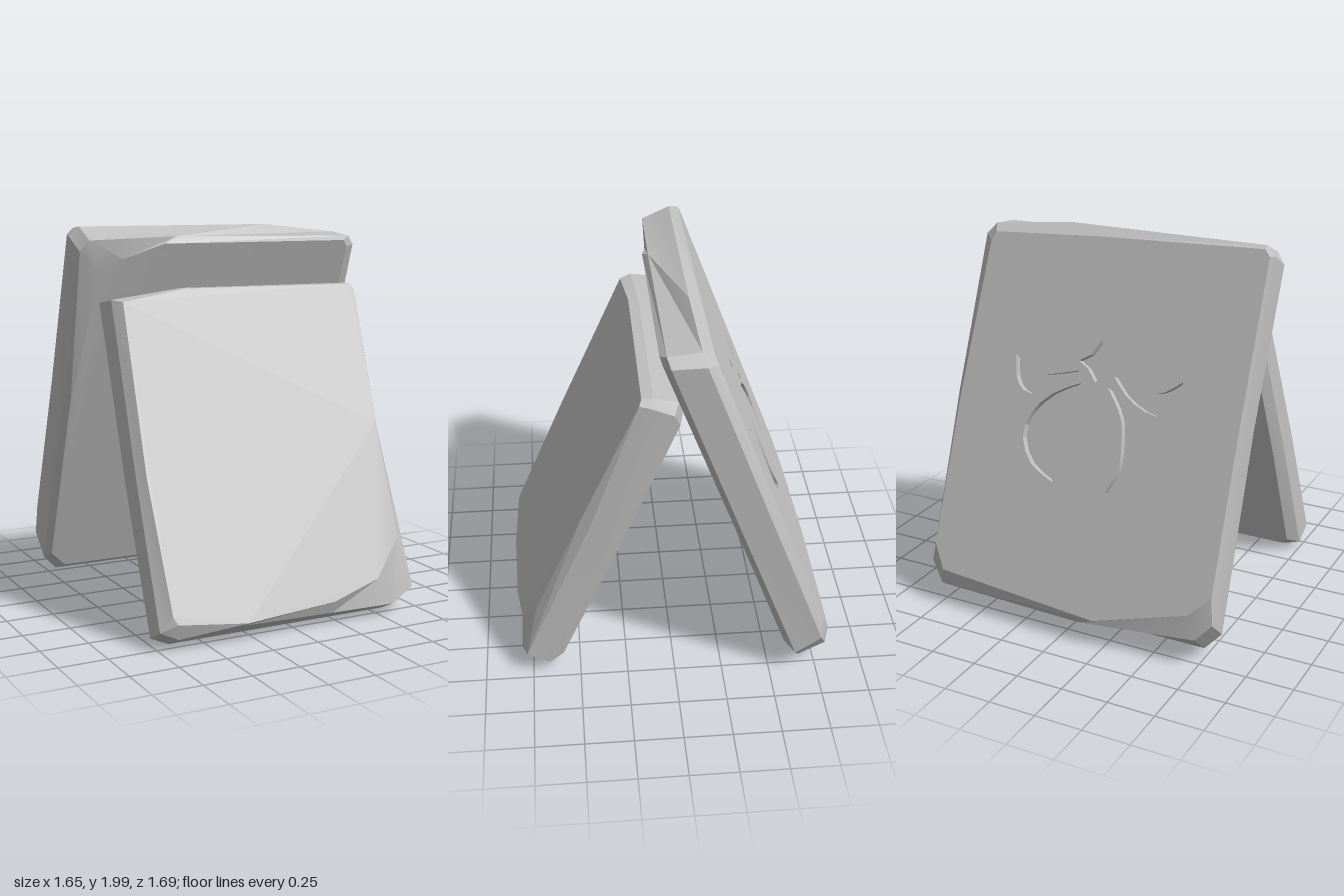
import * as THREE from 'three';
import { mergeGeometries, toCreasedNormals } from 'three/addons/utils/BufferGeometryUtils.js';

const stone = new THREE.MeshStandardMaterial({ color: 0xbfbfbf });
stone.name = 'grey stone';

const V = (x, y) => new THREE.Vector2(x, y);
const toPoints = (ring) => ring.map(([x, y]) => V(x, y));

// Walls between consecutive outlines, listed from front to back
function loft(rings, depths) {
  const pos = [];
  for (let k = 0; k + 1 < rings.length; k++) {
    const n = rings[k].length;
    for (let i = 0; i < n; i++) {
      const j = (i + 1) % n;
      const at = (ring, p) => [rings[ring][p].x, rings[ring][p].y, depths[ring]];
      const a = at(k, i), b = at(k, j), c = at(k + 1, i), d = at(k + 1, j);
      pos.push(...a, ...c, ...b, ...b, ...c, ...d);
    }
  }
  const g = new THREE.BufferGeometry();
  g.setAttribute('position', new THREE.Float32BufferAttribute(pos, 3));
  return g;
}

// Flat face at depth z, facing front or back, with optional holes
function cap(points, z, facesBack, holes = []) {
  const shape = new THREE.Shape(points);
  shape.holes = holes.map((h) => new THREE.Path(h));
  const g = new THREE.ShapeGeometry(shape);
  if (facesBack) g.setIndex(Array.from(g.index.array).reverse());
  g.translate(0, 0, z);
  const out = g.toNonIndexed();
  out.deleteAttribute('uv');
  out.deleteAttribute('normal');
  return out;
}

// Rough slab with chamfered edges and carvings sunk into its back
function slab(name, outlines, depths, carvings = []) {
  const rings = outlines.map(toPoints);
  const last = rings.length - 1;
  const back = depths[last];
  const floor = back + 0.04;
  const parts = [
    loft(rings, depths),
    cap(rings[0], depths[0], false),
    cap(rings[last], back, true, carvings),
  ];
  for (const c of carvings) {
    parts.push(loft([c, c], [back, floor]), cap(c, floor, true));
  }
  const mesh = new THREE.Mesh(toCreasedNormals(mergeGeometries(parts), 0.3), stone);
  mesh.name = name;
  return mesh;
}

// Closed leaf: two smooth edges that meet at the tips
function leaf(edgeA, edgeB, side) {
  const smooth = (pts) =>
    new THREE.SplineCurve(pts.map(([x, y]) => V(x * side, y))).getPoints(10).slice(0, -1);
  const pts = [...smooth(edgeA), ...smooth(edgeB)];
  return THREE.ShapeUtils.isClockWise(pts) ? pts.reverse() : pts;
}

// Flower: a small diamond and two mirrored pairs of leaves
function flowerCarving() {
  const list = [toPoints([
    [0, 0.213], [0.05, 0.275], [0.11, 0.31], [0.045, 0.35],
    [0, 0.43], [-0.045, 0.35], [-0.11, 0.31], [-0.05, 0.275],
  ])];
  for (const side of [-1, 1]) {
    list.push(leaf(
      [[0.1, 0.26], [0.21, 0.155], [0.36, 0.1], [0.45, 0.155], [0.48, 0.29]],
      [[0.48, 0.29], [0.38, 0.22], [0.27, 0.215], [0.1, 0.26]], side));
    list.push(leaf(
      [[0.075, 0.2], [0.23, 0.12], [0.34, 0], [0.365, -0.13], [0.29, -0.26], [0.15, -0.33]],
      [[0.15, -0.33], [0.205, -0.2], [0.2, -0.06], [0.17, 0.07], [0.075, 0.2]], side));
  }
  return list;
}

export function createModel() {
  const group = new THREE.Group();
  group.name = 'leaning slabs';

  // Taller carved slab at the back
  const backSlab = slab('carvedBackSlab', [
    [[-0.79, -0.88], [-0.7, -0.97], [0, -0.97], [0.68, -0.96], [0.76, -0.86], [0.72, 0],
      [0.73, 0.95], [0.7, 0.99], [-0.38, 0.99], [-0.6, 0.91], [-0.72, 0.82], [-0.79, 0.1]],
    [[-0.82, -0.92], [-0.74, -1.01], [0, -1.01], [0.74, -1.01], [0.82, -0.92], [0.81, 0],
      [0.79, 0.95], [0.75, 1], [-0.3, 1.015], [-0.78, 1], [-0.825, 0.94], [-0.81, 0.1]],
    [[-0.82, -0.86], [-0.74, -0.95], [-0.1, -1.01], [0.74, -0.99], [0.82, -0.88], [0.82, 0.05],
      [0.8, 0.9], [0.75, 0.96], [0.3, 1.01], [-0.78, 1.01], [-0.83, 0.96], [-0.815, 0.1]],
    [[-0.81, -0.72], [-0.7, -0.83], [-0.2, -0.975], [0.72, -0.91], [0.79, -0.78], [0.78, 0],
      [0.74, 0.86], [0.72, 0.91], [0.1, 0.95], [-0.79, 0.985], [-0.82, 0.95], [-0.81, 0.1]],
  ], [0.121, 0.085, -0.075, -0.121], flowerCarving());
  backSlab.position.set(0, 1.024, -0.387);
  backSlab.rotation.x = 0.361;

  // Shorter plain slab at the front
  const frontSlab = slab('plainFrontSlab', [
    [[-0.69, -0.78], [-0.67, -0.82], [-0.3, -0.865], [0.2, -0.83], [0.48, -0.75], [0.65, -0.55],
      [0.665, 0.07], [0.71, 0.82], [0.69, 0.85], [-0.3, 0.858], [-0.66, 0.8], [-0.7, -0.1]],
    [[-0.75, -0.84], [-0.66, -0.885], [-0.3, -0.87], [0.2, -0.88], [0.57, -0.885], [0.71, -0.81],
      [0.7, 0.07], [0.715, 0.83], [0.69, 0.875], [-0.3, 0.88], [-0.7, 0.83], [-0.735, -0.1]],
    [[-0.75, -0.85], [-0.66, -0.89], [-0.3, -0.89], [0.2, -0.89], [0.57, -0.89], [0.71, -0.82],
      [0.71, 0], [0.71, 0.83], [0.67, 0.885], [-0.3, 0.89], [-0.71, 0.86], [-0.74, -0.1]],
    [[-0.7, -0.78], [-0.65, -0.82], [-0.3, -0.82], [0.2, -0.82], [0.57, -0.82], [0.67, -0.77],
      [0.69, 0], [0.67, 0.77], [0.62, 0.81], [-0.3, 0.82], [-0.68, 0.8], [-0.7, -0.1]],
  ], [0.12, 0.07, -0.06, -0.12]);
  frontSlab.position.set(0, 0.846, 0.39);
  frontSlab.rotation.x = -0.411;

  group.add(backSlab, frontSlab);
  return group;
}
